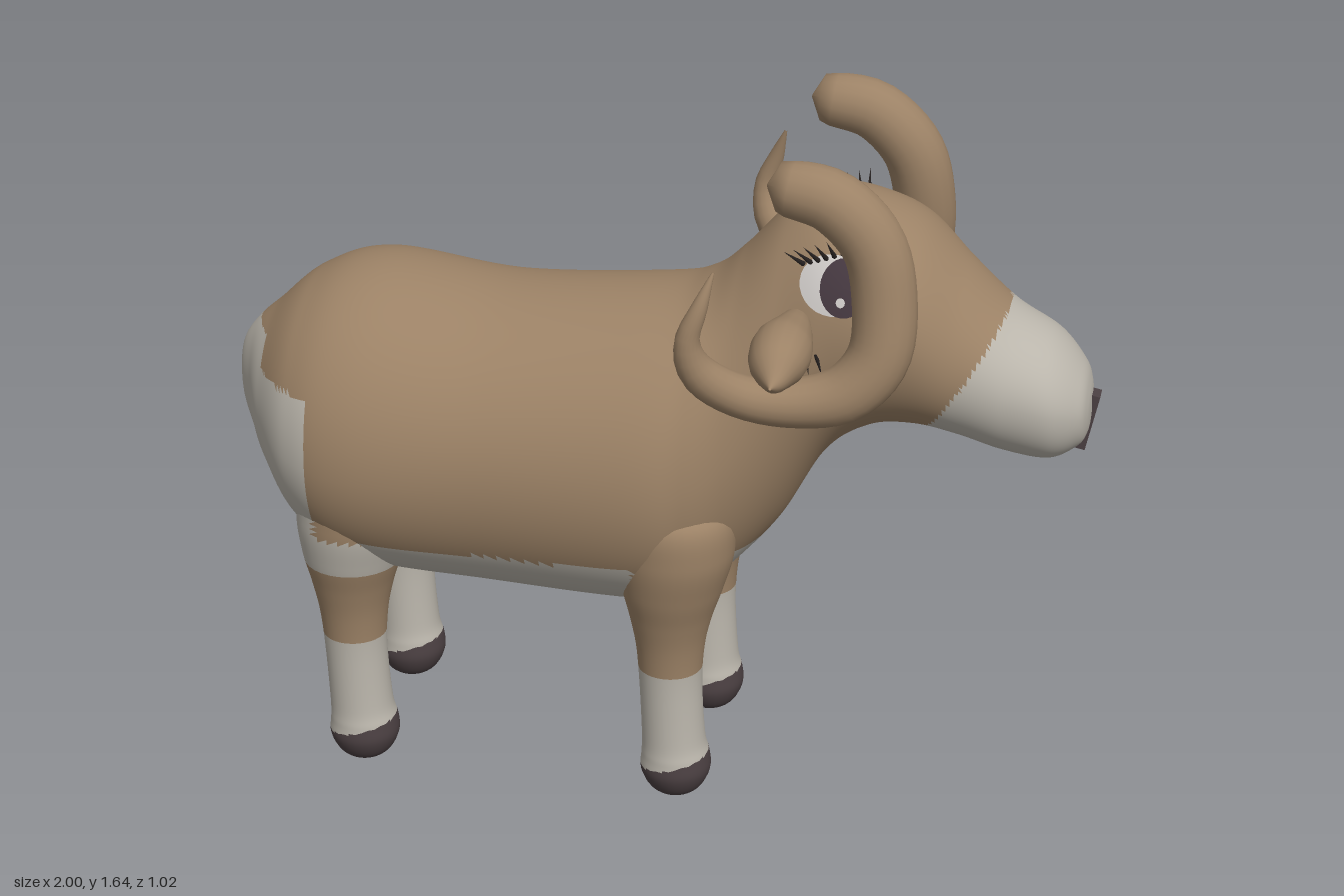
import * as THREE from 'three';

const mat = (name, color, side = THREE.FrontSide) => {
  const m = new THREE.MeshStandardMaterial({ color, side });
  m.name = name;
  return m;
};
const tan = mat('tan wool', 0x9c8266);
const white = mat('pale wool', 0xbab5ab);
const dark = mat('hoof brown', 0x4b4042);
const eyeWhite = mat('eye white', 0xcfcbc8, THREE.DoubleSide);
const iris = mat('iris', 0x453840, THREE.DoubleSide);
const black = mat('lash black', 0x25201f);

// Joins closed rings of points; pick(x, y, z) chooses the material slot of each face
function loft(name, rings, mats, pick = () => 0) {
  const n = rings[0].length, pos = rings.flat().flatMap((p) => [p.x, p.y, p.z]);
  const lists = mats.map(() => []);
  const c = new THREE.Vector3(), flat = rings.flat();
  const face = (...ids) => {
    c.set(0, 0, 0);
    ids.forEach((i) => c.addScaledVector(flat[i], 1 / 3));
    lists[pick(c.x, c.y, c.z)].push(...ids);
  };
  for (let i = 0; i < rings.length - 1; i++) {
    for (let j = 0; j < n; j++) {
      const a = i * n + j, b = i * n + (j + 1) % n;
      face(a, a + n, b);
      face(b, a + n, b + n);
    }
  }
  const g = new THREE.BufferGeometry();
  g.setAttribute('position', new THREE.Float32BufferAttribute(pos, 3));
  g.setIndex(lists.flat());
  let start = 0;
  lists.forEach((l, k) => { g.addGroup(start, l.length, k); start += l.length; });
  g.computeVertexNormals();
  const mesh = new THREE.Mesh(g, mats);
  mesh.name = name;
  return mesh;
}

const ring = (n, f) => Array.from({ length: n }, (_, j) => f(j / n * Math.PI * 2));

// Body sections from rump to muzzle: x, top, bottom, half width, height of widest point
const sections = [
  [-1, 0.93, 0.87, 0.005, 0.9], [-0.985, 0.99, 0.81, 0.05, 0.9], [-0.95, 1.04, 0.74, 0.11, 0.9],
  [-0.9, 1.085, 0.675, 0.2, 0.88], [-0.8, 1.17, 0.57, 0.32, 0.84], [-0.65, 1.215, 0.495, 0.375, 0.82],
  [-0.35, 1.185, 0.47, 0.365, 0.82], [0, 1.215, 0.46, 0.36, 0.82], [0.12, 1.25, 0.49, 0.32, 0.84],
  [0.2, 1.32, 0.56, 0.275, 0.9], [0.3, 1.43, 0.68, 0.24, 1.05], [0.4, 1.478, 0.86, 0.24, 1.17],
  [0.5, 1.465, 0.94, 0.245, 1.2], [0.6, 1.42, 0.955, 0.235, 1.19], [0.7, 1.325, 0.935, 0.2, 1.12],
  [0.8, 1.235, 0.905, 0.18, 1.07], [0.9, 1.175, 0.892, 0.16, 1.04], [0.96, 1.11, 0.92, 0.112, 1.02],
  [0.98, 1.065, 0.95, 0.07, 1.01], [0.987, 1.015, 0.995, 0.005, 1.005],
];
const spline = (pts) => new THREE.CatmullRomCurve3(pts, false, 'catmullrom', 0.5);
const outline = spline(sections.map((s) => new THREE.Vector3(s[0], s[1], s[2])));
const girth = spline(sections.map((s) => new THREE.Vector3(s[3], s[4], 0)));

function bodyRing(t) {
  const o = outline.getPoint(t), g = girth.getPoint(t);
  return ring(112, (a) => {
    const s = Math.sin(a), c = Math.cos(a);
    const y = g.y + s * (s > 0 ? o.y - g.y : g.y - o.z);
    const z = g.x * Math.sign(c) * Math.abs(c) ** (s > 0 ? 1 : 0.85);
    return new THREE.Vector3(o.x, y, z);
  });
}

// Half width of the upper head at (x, y)
function headZ(x, y) {
  let lo = 0, hi = 1;
  for (let i = 0; i < 24; i++) {
    const m = (lo + hi) / 2;
    if (outline.getPoint(m).x < x) lo = m; else hi = m;
  }
  const o = outline.getPoint(lo), g = girth.getPoint(lo);
  const k = Math.max(0, y - g.y) / (o.y - g.y);
  return g.x * Math.sqrt(Math.max(0, 1 - k * k));
}

// Pale rump, belly, chest wedge and muzzle
function bodyColour(x, y, z) {
  if (x > 0.5) return x > 0.62 + (y - 0.96) * 0.62 ? 1 : 0;
  if (x < -0.89 && y < 1.05) return 1;
  if (x < -0.74 && y < 0.99) return 1;
  if (y > 0.64) return 0;
  return x > 0.01 && Math.abs(z) > 0.1 + 0.65 * (y - 0.45) ? 0 : 1;
}

// Tapered tube through points [x, y, z, radius]
function taper(name, pts, side, squash = 1) {
  const path = spline(pts.map((p) => new THREE.Vector3(p[0], p[1], p[2] * side)));
  const radii = spline(pts.map((p, i) => new THREE.Vector3(p[3], i, 0)));
  const steps = 48, frames = path.computeFrenetFrames(steps, false);
  const rings = [];
  for (let i = 0; i <= steps; i++) {
    const t = path.getUtoTmapping(i / steps), p = path.getPoint(t), r = Math.max(0.001, radii.getPoint(t).x);
    rings.push(ring(18, (a) => p.clone()
      .addScaledVector(frames.normals[i], r * Math.cos(a))
      .addScaledVector(frames.binormals[i], -r * squash * Math.sin(a))));
  }
  return loft(name, rings, [tan]);
}

// Leg rings: y, radius, forward shift
const legProfile = [[0, 0.004, 0], [0.008, 0.035, 0], [0.03, 0.064, 0], [0.07, 0.082, 0], [0.11, 0.08, 0],
  [0.16, 0.074, -0.005], [0.3, 0.073, -0.012], [0.4, 0.08, -0.013], [0.48, 0.096, -0.012],
  [0.56, 0.118, -0.008], [0.66, 0.135, 0], [0.76, 0.12, 0], [0.8, 0.01, 0]];
function leg(name, x, z, front) {
  const curve = spline(legProfile.map((p) => new THREE.Vector3(p[2], p[0], p[1])));
  const rings = [];
  for (let i = 0; i <= 90; i++) {
    const p = curve.getPoint(i / 90);
    rings.push(ring(32, (a) => new THREE.Vector3(x + p.x + p.z * Math.cos(a), p.y, z + p.z * Math.sin(a))));
  }
  return loft(name, rings, [tan, white, dark], (px, y) => {
    if (y < 0.1 + (px - x) * 0.25) return 2;
    if (y < 0.34) return 1;
    return !front && y > 0.54 && (y < 0.64 || px < -0.74) ? 1 : 0;
  });
}

// Thin oval that follows the side of the head
function eyePatch(name, cx, cy, rx, ry, lift, material, side) {
  const g = new THREE.RingGeometry(0.001, 1, 28, 6), p = g.attributes.position;
  for (let i = 0; i < p.count; i++) {
    const u = p.getX(i), v = p.getY(i), x = cx + u * rx, y = cy + v * ry;
    p.setXYZ(i, x, y, side * (headZ(x, y) + lift));
  }
  if (side < 0) g.index.array.reverse();
  g.computeVertexNormals();
  const m = new THREE.Mesh(g, material);
  m.name = name;
  return m;
}

function lash(x, y, z, dx, dy, dz, length) {
  const d = new THREE.Vector3(dx, dy, dz).normalize();
  const m = new THREE.Mesh(new THREE.ConeGeometry(0.006, length, 6), black);
  m.quaternion.setFromUnitVectors(new THREE.Vector3(0, 1, 0), d);
  m.position.set(x, y, z).addScaledVector(d, length / 2);
  m.name = 'eyelash';
  return m;
}

export function createModel() {
  const model = new THREE.Group();
  model.name = 'ram';

  const rings = Array.from({ length: 221 }, (_, i) => bodyRing(i / 220));
  model.add(loft('body', rings, [tan, white], bodyColour));

  const nose = new THREE.Mesh(new THREE.BoxGeometry(0.035, 0.135, 0.042), dark);
  nose.name = 'nose';
  nose.position.set(0.972, 0.972, -0.005);
  nose.rotation.z = -0.2;
  model.add(nose);

  for (const s of [1, -1]) {
    model.add(leg('frontLeg', 0.085, 0.2 * s, true), leg('backLeg', -0.675, 0.2 * s, false));

    // Horn curls forward, under the ear and up to a thin tip
    model.add(taper('horn', [
      [0.295, 1.58, 0.275, 0.004], [0.305, 1.58, 0.275, 0.04], [0.34, 1.577, 0.275, 0.06],
      [0.44, 1.555, 0.28, 0.068], [0.525, 1.47, 0.285, 0.07], [0.555, 1.35, 0.3, 0.07],
      [0.55, 1.23, 0.325, 0.068], [0.485, 1.15, 0.35, 0.064], [0.38, 1.125, 0.37, 0.055],
      [0.27, 1.14, 0.395, 0.048], [0.185, 1.2, 0.43, 0.042], [0.16, 1.28, 0.45, 0.028],
      [0.185, 1.36, 0.445, 0.018], [0.21, 1.435, 0.425, 0.003]], s));

    model.add(taper('ear', [
      [0.35, 1.24, 0.2, 0.03], [0.35, 1.24, 0.27, 0.048], [0.345, 1.235, 0.34, 0.066],
      [0.345, 1.23, 0.41, 0.06], [0.35, 1.22, 0.47, 0.03], [0.35, 1.22, 0.51, 0.003]], s));

    model.add(
      eyePatch('eyeWhite', 0.43, 1.335, 0.075, 0.06, 0.012, eyeWhite, s),
      eyePatch('iris', 0.455, 1.335, 0.052, 0.058, 0.018, iris, s),
      eyePatch('eyeGlint', 0.452, 1.31, 0.01, 0.01, 0.023, eyeWhite, s));

    // Upper and lower lashes
    for (let i = 0; i < 6; i++) {
      const x = 0.36 + i * 0.017, y = 1.365 + i * 0.006;
      model.add(lash(x, y, s * (headZ(x, y) + 0.008), -0.8 + i * 0.15, 0.7, 0.5 * s, 0.06));
      const lx = 0.29 + i * 0.022;
      model.add(lash(lx, 1.18, s * (headZ(lx, 1.18) - 0.005), -0.4 + i * 0.15, -0.8, 0.4 * s, 0.05));
    }
  }
  return model;
}
